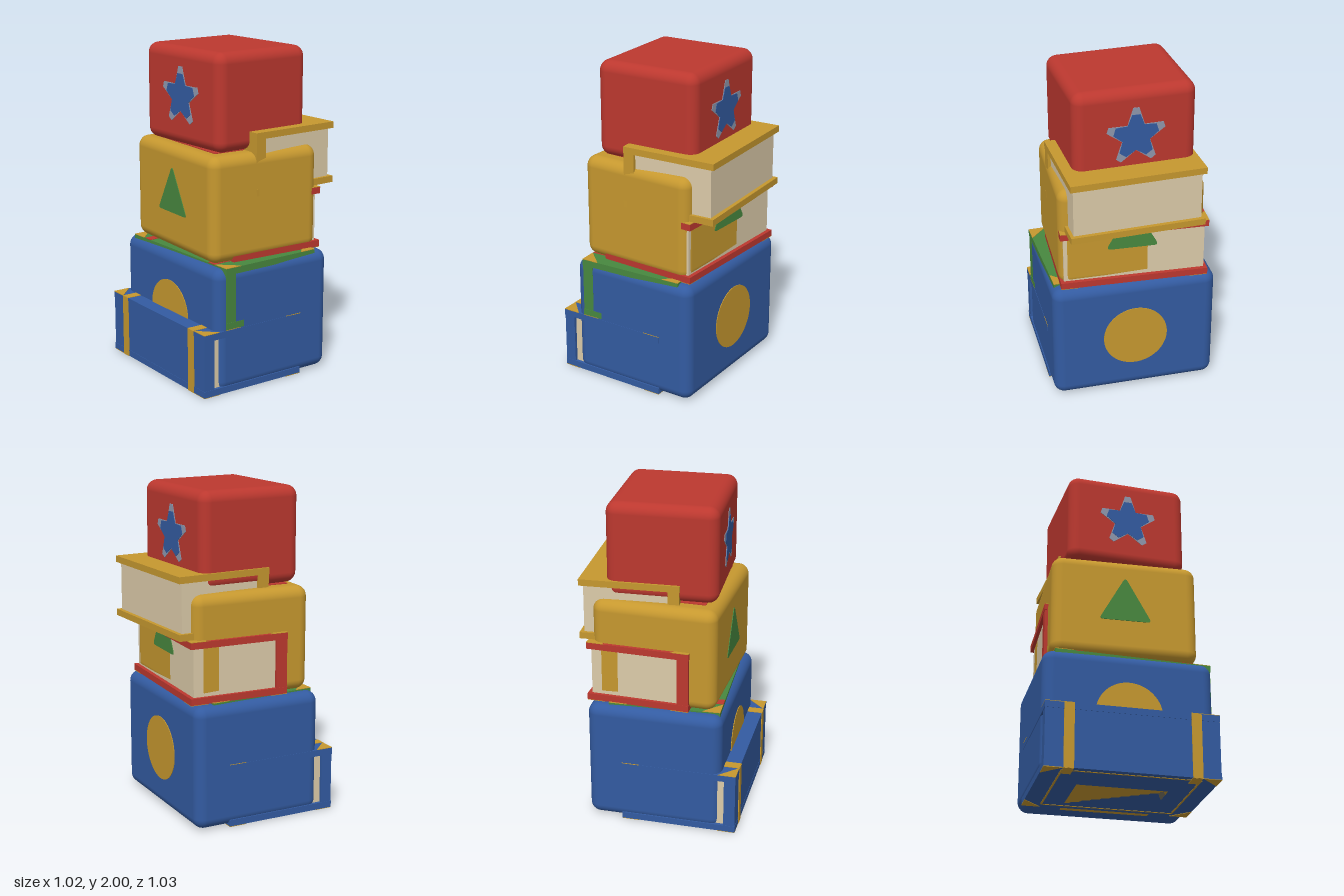
import * as THREE from 'three';
import { RoundedBoxGeometry } from 'three/addons/geometries/RoundedBoxGeometry.js';

const mat = (name, color) => {
  const m = new THREE.MeshStandardMaterial({ color });
  m.name = name;
  return m;
};

export function createModel() {
  const red = mat('red', 0xbc382f), gold = mat('gold', 0xc6982f), blue = mat('blue', 0x335ba1);
  const green = mat('green', 0x48883f), cream = mat('cream', 0xdccba9), silver = mat('silver', 0x8f98ad);
  const model = new THREE.Group();
  model.name = 'stackedBlocksAndBooks';

  function add(parent, name, geometry, material, x = 0, y = 0, z = 0) {
    const mesh = new THREE.Mesh(geometry, material);
    mesh.name = name;
    mesh.position.set(x, y, z);
    parent.add(mesh);
    return mesh;
  }
  const box = (w, h, d) => new THREE.BoxGeometry(w, h, d);
  const plate = (shape, depth = 0.004) =>
    new THREE.ExtrudeGeometry(shape, { depth, bevelEnabled: false, curveSegments: 32 });

  // Rounded toy block; origin at the centre of its base
  function block(name, w, h, d, y, turn, material) {
    const g = new THREE.Group();
    g.name = name;
    g.position.y = y;
    g.rotation.y = turn;
    add(g, name + 'Body', new RoundedBoxGeometry(w, h, d, 5, 0.065), material, 0, h / 2, 0);
    model.add(g);
    return g;
  }

  // Thin painted shape on the front and the back of a block
  function emblem(g, name, shape, material, y, d, thick = 0.004) {
    for (const s of [1, -1]) {
      const m = add(g, name, plate(shape, thick), material, 0, y, s * d / 2);
      if (s < 0) m.rotation.y = Math.PI;
    }
  }

  const circle = new THREE.Shape();
  circle.absarc(0, 0, 0.2, 0, Math.PI * 2, false);

  // Triangle with softened corners
  const triangle = new THREE.Shape();
  const pts = [[-0.16, -0.14], [0.16, -0.14], [0, 0.148]].map(p => new THREE.Vector2(...p));
  pts.forEach((p, i) => {
    const a = p.clone().lerp(pts[(i + 2) % 3], 0.09), b = p.clone().lerp(pts[(i + 1) % 3], 0.09);
    if (i) triangle.lineTo(a.x, a.y); else triangle.moveTo(a.x, a.y);
    triangle.quadraticCurveTo(p.x, p.y, b.x, b.y);
  });
  triangle.closePath();

  // Five-pointed star with blunt tips
  function star(outer, inner, blunt) {
    const p = [];
    for (let i = 0; i < 5; i++) {
      const a = Math.PI / 2 + i * Math.PI * 2 / 5;
      for (const [r, t] of [[outer, a - blunt], [outer, a + blunt], [inner, a + Math.PI / 5]])
        p.push(new THREE.Vector2(r * Math.cos(t), r * Math.sin(t)));
    }
    return new THREE.Shape(p);
  }

  // Book lying flat, spine towards +z; origin at the centre of its base
  function book(name, w, h, d, pos, turn, cover, accent, bands, corners) {
    const g = new THREE.Group();
    g.name = name;
    g.position.set(...pos);
    g.rotation.y = turn;
    const t = 0.04;
    for (const y of [t / 2, h - t / 2]) add(g, 'cover', box(w, t, d), cover, 0, y, 0);
    add(g, 'spine', box(w - 0.004, h - 2 * t, 0.07), cover, 0, h / 2, d / 2 - 0.037);
    add(g, 'pages', box(w - 0.04, h - 2 * t, d - 0.09), cream, 0, h / 2, -0.02);
    // Triangular corner guards on both covers
    if (corners) for (const sx of [1, -1]) for (const sz of [1, -1]) {
      const x = sx * w / 2, z = sz * d / 2;
      const tri = new THREE.Shape([[x, -z], [x - sx * 0.11, -z], [x, -z + sz * 0.11]]
        .map(p => new THREE.Vector2(...p)));
      for (const y of [-0.003, h - 0.001])
        add(g, 'cornerGuard', plate(tri), accent, 0, y, 0).rotation.x = -Math.PI / 2;
    }
    // Bands wrapping the spine
    if (bands) for (const s of [1, -1]) {
      const x = s * bands;
      add(g, 'spineBand', box(0.06, h + 0.004, 0.006), accent, x, h / 2, d / 2);
      for (const y of [0, h])
        add(g, 'bandEnd', box(0.06, 0.006, 0.1), accent, x, y, d / 2 - 0.05);
    }
    model.add(g);
    return g;
  }

  // Bottom block with its discs and the square on its underside
  const lower = block('lowerBlock', 1.016, 0.757, 0.83, 0.005, 0, blue);
  emblem(lower, 'disc', circle, gold, 0.378, 0.83);
  add(lower, 'baseSquare', box(0.54, 0.004, 0.48), gold, 0, 0, 0);

  // Middle block with triangles and a painted top
  const middle = block('middleBlock', 0.885, 0.64, 0.76, 0.77, -0.035, gold);
  emblem(middle, 'triangle', triangle, green, 0.37, 0.76);
  add(middle, 'topSquare', box(0.66, 0.006, 0.58), red, 0, 0.641, 0);

  // Top block with bordered stars
  const upper = block('upperBlock', 0.74, 0.585, 0.668, 1.415, 0.047, red);
  emblem(upper, 'starBorder', star(0.18, 0.088, 0.1), silver, 0.295, 0.668, 0.003);
  emblem(upper, 'star', star(0.138, 0.086, 0.18), blue, 0.295, 0.668, 0.006);

  // Books pushed through the blocks
  const blueBook = book('blueBook', 1.02, 0.387, 0.71, [0, 0.003, 0.155], 0, blue, gold, 0.37, true);
  book('greenBook', 0.95, 0.375, 0.68, [0.025, 0.395, 0.035], 0.04, green, gold, 0, true);
  book('redBook', 0.9, 0.375, 0.63, [-0.01, 0.77, -0.09], -0.04, red, gold, 0, true);
  book('goldBook', 0.82, 0.378, 0.605, [0.017, 1.15, -0.193], 0.05, gold, red, 0, false);

  // Red bands on the green book's top cover
  for (const s of [1, -1])
    add(model.getObjectByName('greenBook'), 'coverBand', box(0.06, 0.004, 0.12), red, s * 0.33, 0.375, 0.28);

  // Thin frame line on the underside of the blue book
  for (const s of [1, -1]) {
    add(blueBook, 'frameLine', box(0.8, 0.004, 0.012), gold, 0, 0, s * 0.31);
    add(blueBook, 'frameLine', box(0.012, 0.004, 0.62), gold, s * 0.4, 0, 0);
  }
  return model;
}
